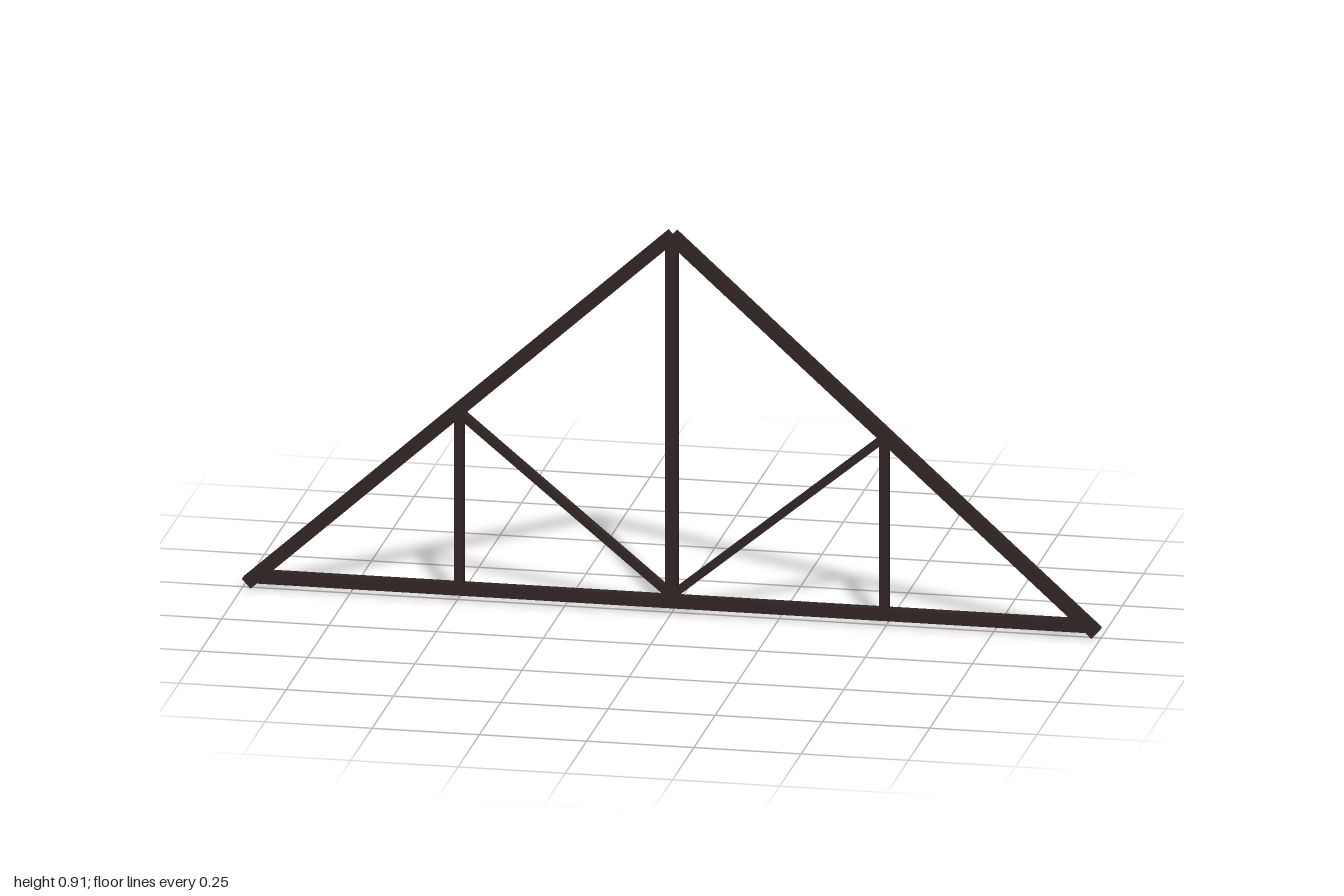
import * as THREE from 'three';

const DEPTH = 0.024;

export function createModel() {
  const truss = new THREE.Group();
  truss.name = 'roofTruss';
  const material = new THREE.MeshStandardMaterial({ color: 0x2e2422 });

  // straight timber between two points in the truss plane
  function beam(name, x1, y1, x2, y2, width) {
    const length = Math.hypot(x2 - x1, y2 - y1);
    const mesh = new THREE.Mesh(new THREE.BoxGeometry(length, width, DEPTH), material);
    mesh.position.set((x1 + x2) / 2, (y1 + y2) / 2, 0);
    mesh.rotation.z = Math.atan2(y2 - y1, x2 - x1);
    mesh.name = name;
    truss.add(mesh);
  }

  // bottom chord and central post
  beam('bottomChord', -0.98, 0.028, 0.98, 0.028, 0.028);
  beam('kingPost', 0, 0.03, 0, 0.9, 0.027);

  // mirrored rafters, side posts and diagonal struts
  for (const [side, s] of [['left', 1], ['right', -1]]) {
    beam(side + 'Rafter', s * 0.99, 0.012, 0, 0.904, 0.03);
    beam(side + 'Post', s * 0.495, 0.03, s * 0.495, 0.455, 0.021);
    beam(side + 'Strut', s * 0.495, 0.45, 0, 0.042, 0.017);
  }
  return truss;
}
